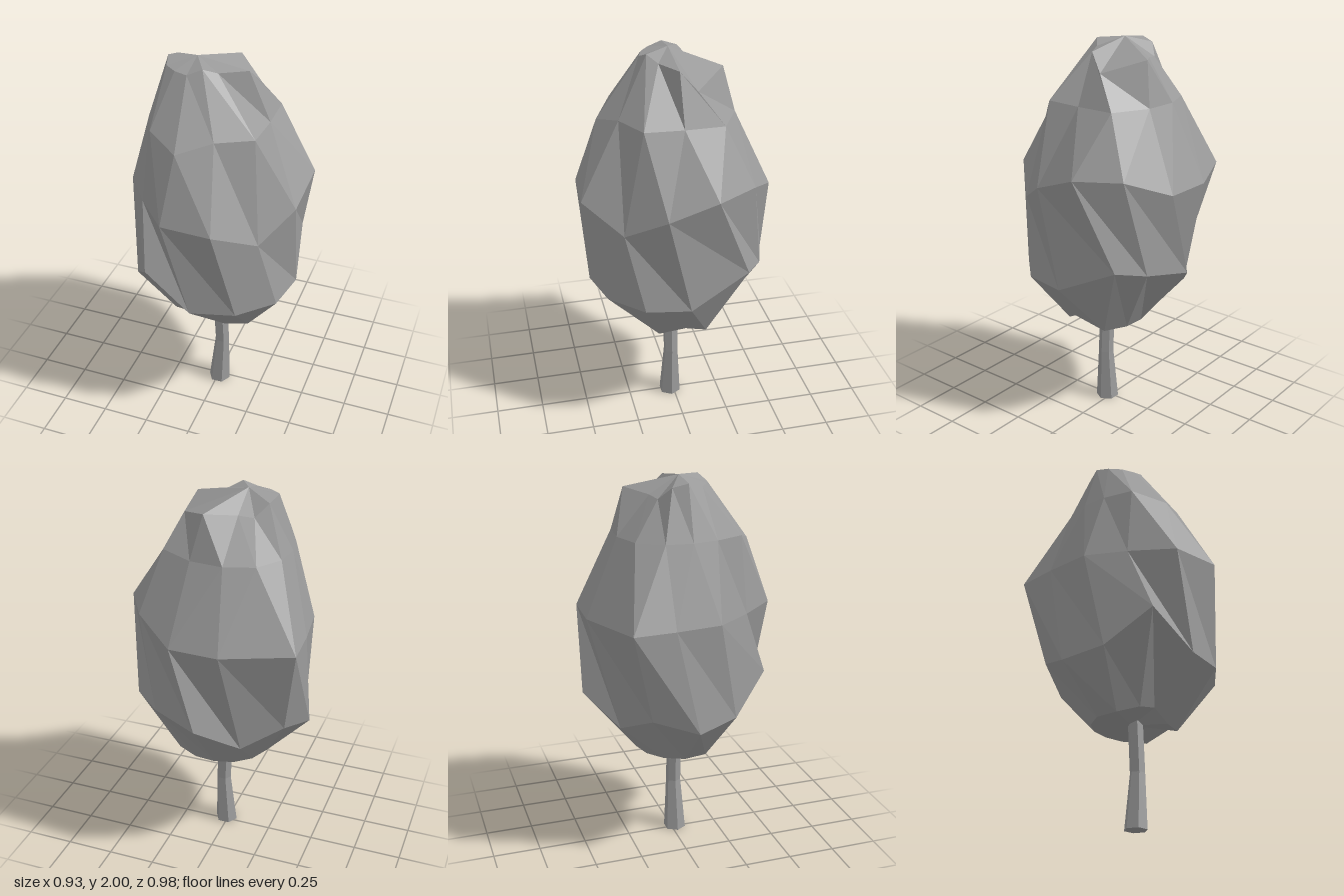
import * as THREE from 'three';

// Joins closed rings of points, listed from bottom to top, into a faceted skin.
function loft(rings) {
  const pos = [];
  const tri = (a, b, c) => {
    if (!a.equals(b) && !b.equals(c) && !a.equals(c)) for (const p of [a, b, c]) pos.push(p.x, p.y, p.z);
  };
  for (let i = 0; i < rings.length - 1; i++) {
    const n = rings[i].length;
    for (let j = 0; j < n; j++) {
      const k = (j + 1) % n;
      const a = rings[i][j], b = rings[i + 1][j], c = rings[i][k], d = rings[i + 1][k];
      tri(a, b, d);
      tri(a, d, c);
    }
  }
  const geo = new THREE.BufferGeometry();
  geo.setAttribute('position', new THREE.Float32BufferAttribute(pos, 3));
  geo.computeVertexNormals();
  return geo;
}

// One ring: centre, a radius for each direction (from +x round to +z),
// height shifts for a few corners, and a turn in degrees.
function ring(cx, y, cz, radii, lift = {}, turn = 0) {
  return radii.map((r, j) => {
    const a = (j / radii.length) * Math.PI * 2 + THREE.MathUtils.degToRad(turn);
    return new THREE.Vector3(cx + r * Math.cos(a), y + (lift[j] || 0), cz + r * Math.sin(a));
  });
}

export function createModel() {
  const group = new THREE.Group();
  const material = new THREE.MeshStandardMaterial({ color: 0x9b9b9b, flatShading: true });
  const add = (name, geo) => {
    const mesh = new THREE.Mesh(geo, material);
    mesh.name = name;
    group.add(mesh);
  };
  const same = (r, n) => Array(n).fill(r);

  // Crown: irregular twelve-sided bulb, leaning slightly to one side at the top
  const bulge = ring(0, 0.80, 0,
    [0.43, 0.45, 0.45, 0.45, 0.49, 0.44, 0.46, 0.45, 0.39, 0.485, 0.47, 0.48],
    { 4: 0.18, 6: -0.03, 7: 0.04, 8: -0.06, 9: 0.08, 10: 0.12, 11: 0.15 });
  bulge[11].set(0.37, 0.95, -0.31);

  const shoulder = ring(0, 1.32, 0,
    [0.455, 0.44, 0.51, 0.50, 0.42, 0.445, 0.475, 0.58, 0.50, 0.49, 0.475, 0.48],
    { 1: -0.12, 10: 0.09, 11: 0.09 }, 15);
  shoulder[7].set(-0.47, 1.32, -0.34);

  const rim = ring(-0.11, 1.96, 0,
    [0.26, 0.15, 0.14, 0.145, 0.14, 0.15, 0.15, 0.15, 0.15, 0.15, 0.28, 0.31],
    { 2: 0.03, 6: 0.02, 8: -0.06, 9: -0.05, 10: -0.03 });
  rim[11].set(0.19, 1.87, -0.08);

  add('crown', loft([
    ring(0, 0.54, 0, same(0, 12)),
    ring(0, 0.53, 0,
      [0.30, 0.24, 0.19, 0.17, 0.20, 0.24, 0.23, 0.21, 0.20, 0.20, 0.22, 0.26],
      { 0: 0.08, 3: 0.06, 4: 0.04 }),
    bulge,
    shoulder,
    ring(-0.09, 1.71, 0,
      [0.35, 0.39, 0.33, 0.37, 0.32, 0.26, 0.25, 0.27, 0.30, 0.31, 0.34, 0.40],
      { 3: -0.05 }),
    rim,
    ring(-0.11, 2, 0, same(0, 12)),
  ]));

  // Trunk: slim six-sided stem with a slight bend
  add('trunk', loft([
    ring(0.01, 0, 0.02, same(0, 6)),
    ring(0.01, 0, 0.02, same(0.06, 6)),
    ring(0.025, 0.29, 0.017, same(0.04, 6)),
    ring(0.01, 0.58, 0.017, same(0.04, 6)),
    ring(0.01, 0.58, 0.017, same(0, 6)),
  ]));

  return group;
}
